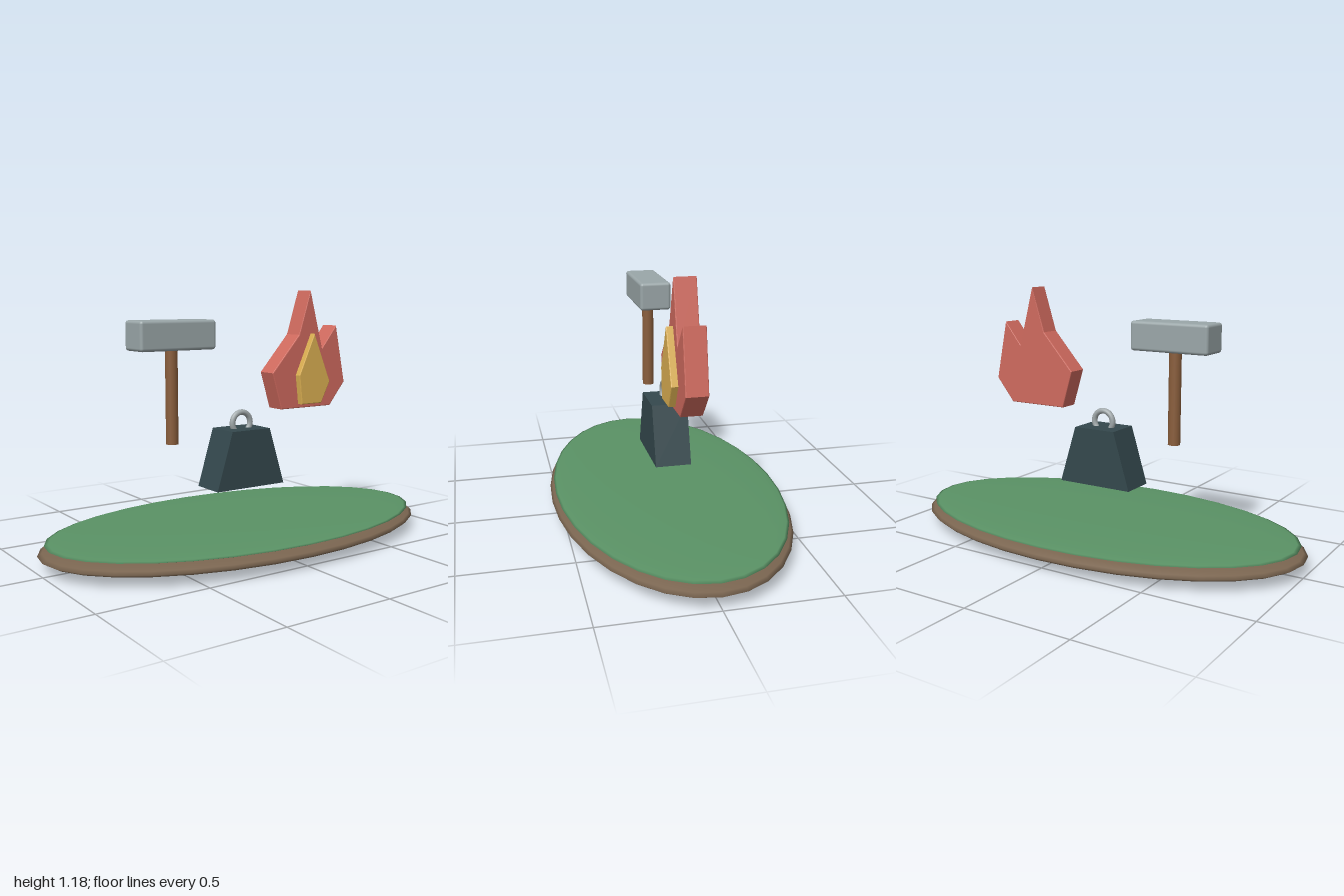
import * as THREE from 'three';
import { RoundedBoxGeometry } from 'three/addons/geometries/RoundedBoxGeometry.js';

function add(parent, name, geometry, color, x = 0, y = 0, z = 0) {
  const mesh = new THREE.Mesh(geometry, new THREE.MeshStandardMaterial({ color }));
  mesh.name = name;
  mesh.position.set(x, y, z);
  parent.add(mesh);
  return mesh;
}

// Extrudes an outline between two z values with a small bevel kept inside the outline.
function slab(points, zBack, zFront, bevel) {
  const shape = new THREE.Shape(points.map(([x, y]) => new THREE.Vector2(x, y)));
  const geometry = new THREE.ExtrudeGeometry(shape, {
    depth: zFront - zBack - 2 * bevel,
    bevelEnabled: bevel > 0,
    bevelThickness: bevel,
    bevelSize: bevel,
    bevelOffset: -bevel,
    bevelSegments: 2,
  });
  return geometry.translate(0, 0, zBack + bevel);
}

function subgroup(parent, name) {
  const group = new THREE.Group();
  group.name = name;
  parent.add(group);
  return group;
}

export function createModel() {
  const model = new THREE.Group();
  model.name = 'floatingEmblems';

  // Flattened oval island: earth below, grass on top
  const island = subgroup(model, 'island');
  const disc = (rx, ry, rz) => new THREE.SphereGeometry(1, 32, 16).scale(rx, ry, rz);
  add(island, 'earth', disc(1, 0.06, 0.545), 0x7a6550, 0, 0.06, 0);
  add(island, 'grass', disc(0.97, 0.021, 0.527), 0x5a9265, 0, 0.102, 0);

  // Weight with a lifting ring
  const weight = subgroup(model, 'weight');
  const trapezoid = [[-0.188, 0.27], [0.188, 0.27], [0.105, 0.54], [-0.105, 0.54]];
  add(weight, 'weightBody', slab(trapezoid, -0.083, 0.083, 0), 0x34484d);
  add(weight, 'weightRing', new THREE.TorusGeometry(0.05, 0.0135, 12, 32), 0xa0a8aa, 0, 0.565, 0);

  // Hammer
  const hammer = subgroup(model, 'hammer');
  add(hammer, 'hammerHead', new RoundedBoxGeometry(0.38, 0.132, 0.148, 3, 0.014), 0x9aa6a8, -0.375, 0.985, 0);
  add(hammer, 'hammerHandle', new THREE.CylinderGeometry(0.028, 0.028, 0.44, 16), 0x8a5e3c, -0.375, 0.72, 0);

  // Flame with a brighter core on its front face
  const flame = subgroup(model, 'flame');
  const outer = [
    [0.2, 0.617], [0.5, 0.617], [0.592, 0.73], [0.535, 1.01],
    [0.447, 0.9], [0.372, 1.18], [0.305, 0.97], [0.147, 0.793],
  ];
  const core = [[0.3, 0.637], [0.42, 0.637], [0.472, 0.74], [0.374, 0.975], [0.284, 0.777]];
  add(flame, 'outerFlame', slab(outer, -0.05, 0.05, 0.004), 0xcf6a5e);
  add(flame, 'flameCore', slab(core, 0.04, 0.081, 0.004), 0xdcb052);

  return model;
}
